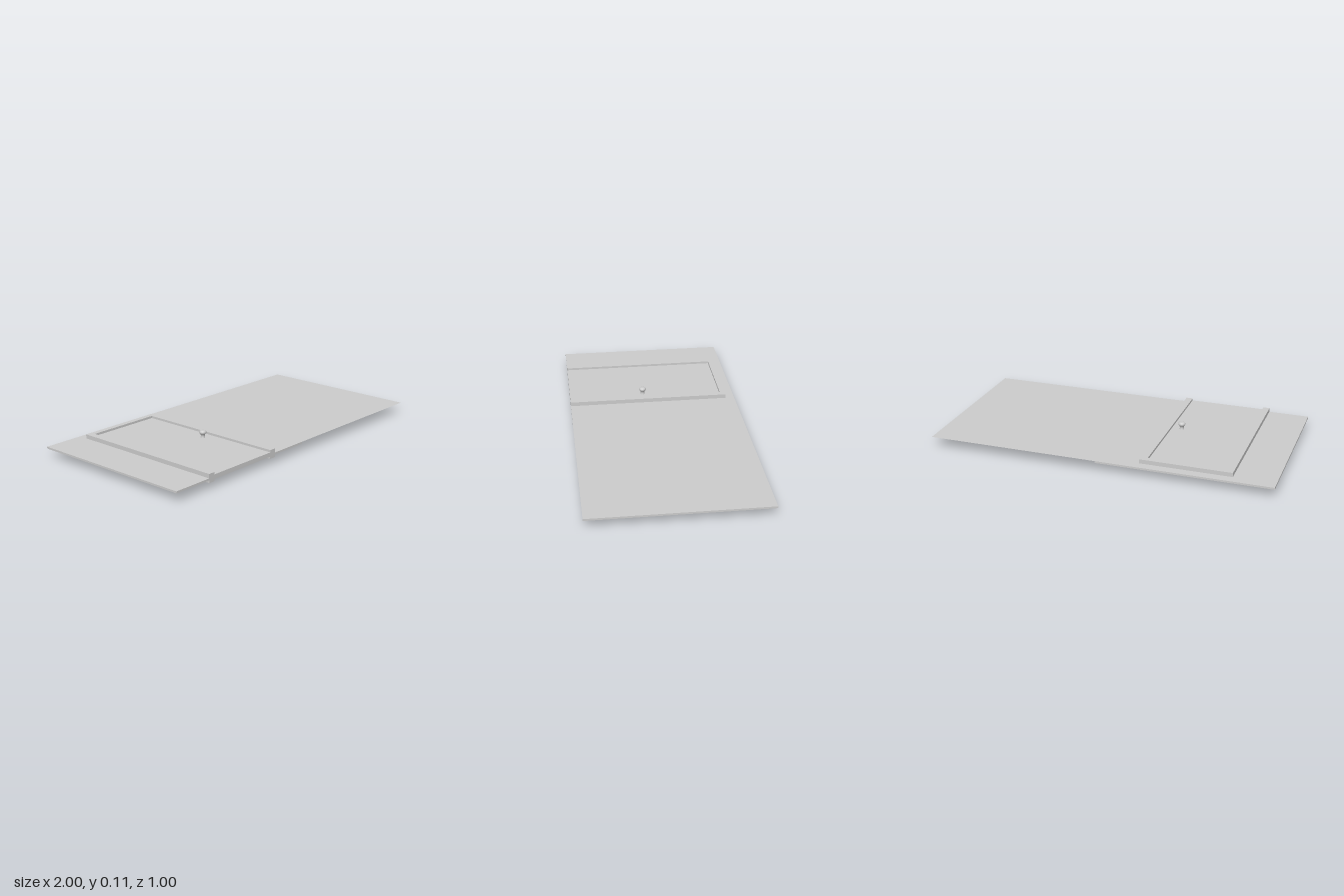
import * as THREE from 'three';

const material = new THREE.MeshStandardMaterial({ color: 0xcccccc });

function addMesh(group, name, geometry, mat = material) {
  const mesh = new THREE.Mesh(geometry, mat);
  mesh.name = name;
  group.add(mesh);
  return mesh;
}

// Flat slab from an outline of [x, z] points, lying between two heights
function slab(points, bottom, top) {
  const shape = new THREE.Shape(points.map(([x, z]) => new THREE.Vector2(x, z)));
  const geometry = new THREE.ExtrudeGeometry(shape, { depth: top - bottom, bevelEnabled: false });
  return geometry.rotateX(Math.PI / 2).translate(0, top, 0);
}

// U-shaped outline, open towards +z
function arch(x0, x1, zTop, i0, i1, iTop) {
  return [[x0, 0.5], [x0, zTop], [x1, zTop], [x1, 0.5], [i1, 0.5], [i1, iTop], [i0, iTop], [i0, 0.5]];
}

export function createModel() {
  const model = new THREE.Group();
  model.name = 'wallWithDoor';

  // Wall: the half around the doorway, then the plain half with open long edges
  const wallBottom = 0.049, wallTop = 0.06;
  addMesh(model, 'doorwayWall', slab(arch(-1, 0, -0.5, -0.74, -0.26, -0.43), wallBottom, wallTop));

  const plain = new THREE.BoxGeometry(1, wallTop - wallBottom, 1);
  const index = Array.from(plain.index.array);
  plain.setIndex([...index.slice(0, 6), ...index.slice(12, 24)]); // end, top and bottom
  plain.clearGroups();
  plain.translate(0.5, (wallBottom + wallTop) / 2, 0);
  addMesh(model, 'plainWall', plain);

  // Door frame standing proud on both faces of the wall
  addMesh(model, 'doorFrame', slab(arch(-0.763, -0.24, -0.447, -0.725, -0.279, -0.416), 0.034, 0.084));

  // Door leaf, recessed in the frame
  const door = new THREE.BoxGeometry(0.446, 0.025, 0.916);
  addMesh(model, 'door', door.translate(-0.502, 0.0585, 0.042));

  // One knob on each face of the door
  const profile = [
    [0.015, 0.008], [0.012, 0.02], [0.011, 0.027], [0.014, 0.034], [0.019, 0.039],
    [0.0205, 0.044], [0.02, 0.049], [0.017, 0.054], [0.011, 0.0562], [0, 0.0567],
  ].map(([r, h]) => new THREE.Vector2(r, h));
  const knobGeometry = new THREE.LatheGeometry(profile, 24);
  for (const [name, turn] of [['topKnob', 0], ['bottomKnob', Math.PI]]) {
    const knob = addMesh(model, name, knobGeometry);
    knob.position.set(-0.337, 0.0567, 0.055);
    knob.rotation.x = turn;
  }

  return model;
}
